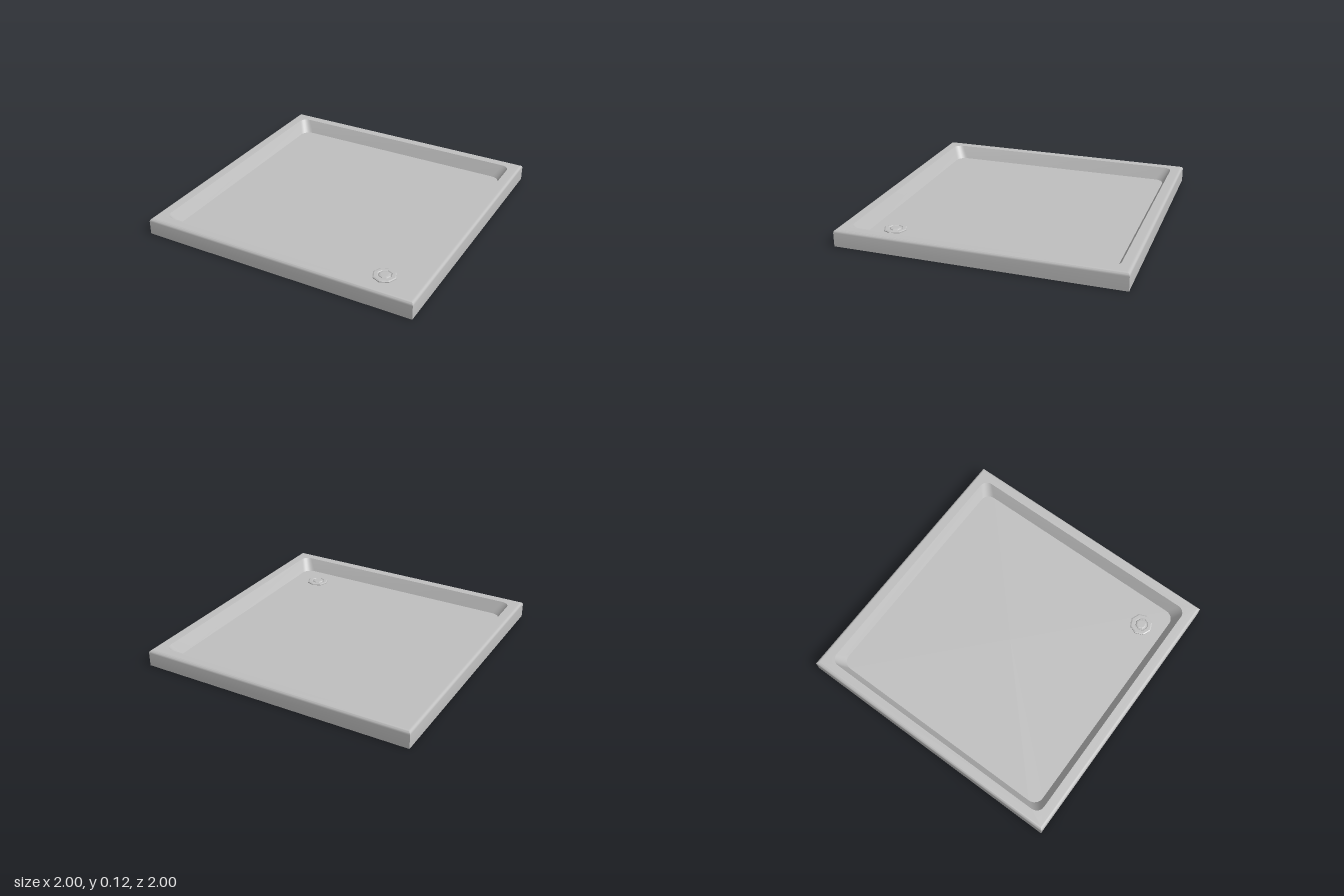
import * as THREE from 'three';
import { toCreasedNormals } from 'three/addons/utils/BufferGeometryUtils.js';

const ARC = 6; // segments per rounded corner

// One square loop at height y, with half-size h and corner radius r
function squareLoop(h, r, y) {
  const points = [];
  for (let corner = 0; corner < 4; corner++) {
    const mid = (corner + 0.5) * Math.PI / 2;
    const cx = Math.sign(Math.cos(mid)) * (h - r);
    const cz = Math.sign(Math.sin(mid)) * (h - r);
    for (let i = 0; i <= ARC; i++) {
      const a = (corner + i / ARC) * Math.PI / 2;
      points.push(new THREE.Vector3(cx + r * Math.cos(a), y, cz + r * Math.sin(a)));
    }
  }
  return points;
}

// Skin consecutive loops, leaving out collapsed triangles
function skin(loops) {
  const positions = [];
  const triangle = new THREE.Triangle();
  const add = (a, b, c) => {
    if (triangle.set(a, b, c).getArea() > 1e-8) {
      for (const p of [a, b, c]) positions.push(p.x, p.y, p.z);
    }
  };
  for (let i = 0; i + 1 < loops.length; i++) {
    const low = loops[i], high = loops[i + 1], n = low.length;
    for (let j = 0; j < n; j++) {
      const k = (j + 1) % n;
      add(low[j], high[j], low[k]);
      add(low[k], high[j], high[k]);
    }
  }
  const geometry = new THREE.BufferGeometry();
  geometry.setAttribute('position', new THREE.Float32BufferAttribute(positions, 3));
  return toCreasedNormals(geometry, 0.6);
}

export function createModel() {
  const group = new THREE.Group();
  group.name = 'showerTray';

  const enamel = new THREE.MeshStandardMaterial({ color: 0xbfbfbf });
  enamel.name = 'grey enamel';

  const top = 0.12, floor = 0.03, edge = 0.022;

  // Tray: underside, outer walls, rounded rim edge, sloping basin walls, floor
  const loops = [squareLoop(0, 0, 0), squareLoop(1, 0, 0)];
  for (let i = 0; i <= 5; i++) {
    const a = i / 5 * Math.PI / 2;
    loops.push(squareLoop(1 - edge * (1 - Math.cos(a)), 0, top - edge * (1 - Math.sin(a))));
  }
  loops.push(
    squareLoop(0.92, 0.06, top),
    squareLoop(0.873, 0.07, floor),
    squareLoop(0, 0, floor)
  );
  const tray = new THREE.Mesh(skin(loops), enamel);
  tray.name = 'tray';
  group.add(tray);

  // Drain: low eight-sided cover with stepped rings
  const profile = [
    [0.083, 0], [0.083, 0.006], [0.074, 0.01], [0.052, 0.01],
    [0.048, 0.006], [0.042, 0.006], [0.038, 0.011], [0.028, 0.013], [0, 0.013]
  ].map(([r, y]) => new THREE.Vector2(r, y));
  const drain = new THREE.Mesh(
    toCreasedNormals(new THREE.LatheGeometry(profile, 8), 0.1), enamel);
  drain.name = 'drain';
  drain.position.set(0.67, floor, 0.71);
  group.add(drain);

  return group;
}
